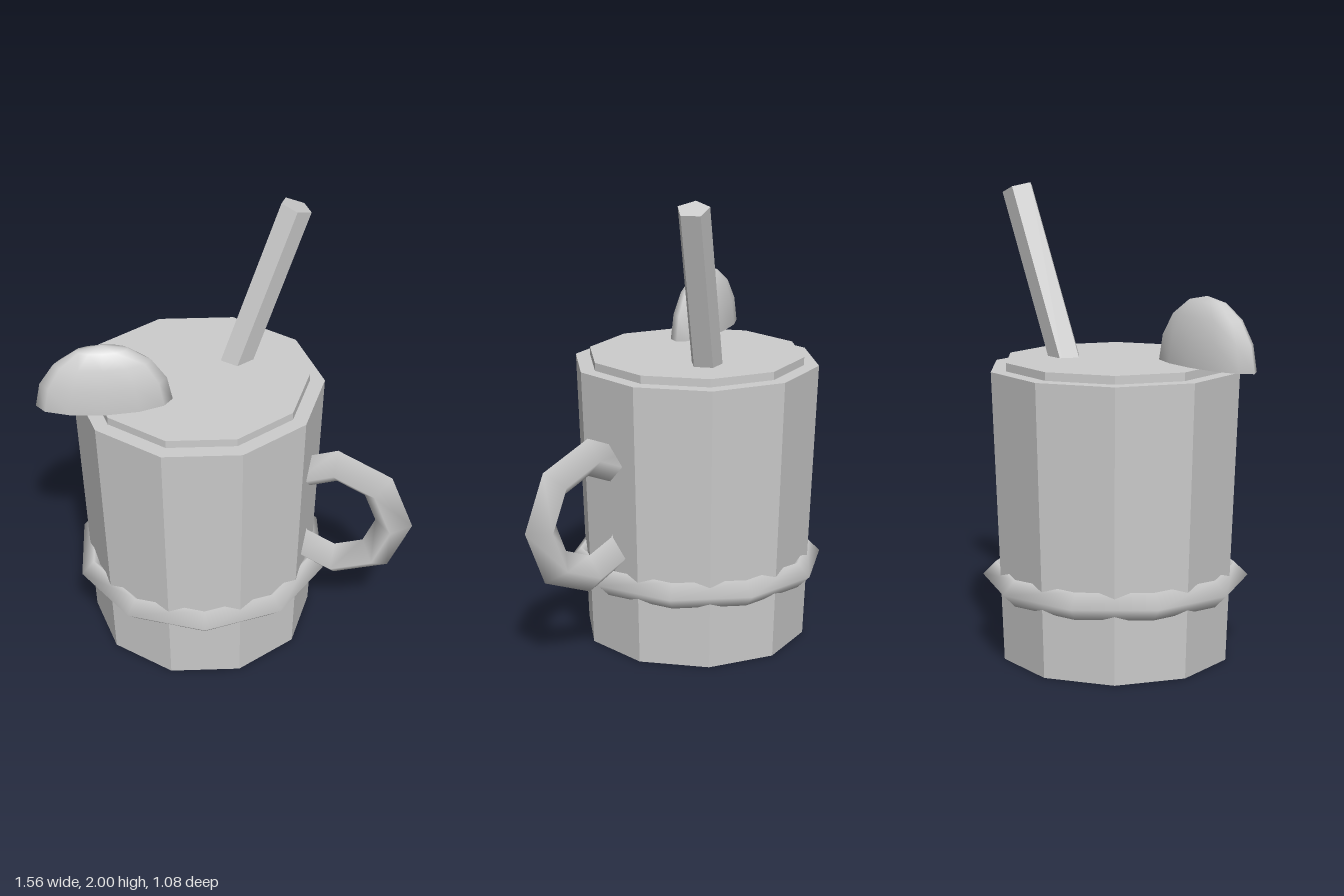
import * as THREE from 'three';

const CUP_X = -0.185;

// Gives every face its own flat normal
function faceted(geometry) {
  const g = geometry.toNonIndexed();
  g.computeVertexNormals();
  return g;
}

export function createModel() {
  const group = new THREE.Group();
  const grey = new THREE.MeshStandardMaterial({ color: 0xcccccc });
  grey.name = 'plain grey';

  function add(name, geometry, x, y, z, parent = group) {
    const mesh = new THREE.Mesh(geometry, grey);
    mesh.name = name;
    mesh.position.set(x, y, z);
    parent.add(mesh);
    return mesh;
  }

  // Ten-sided tapered cup with the drink standing just proud of the rim
  add('cup', faceted(new THREE.CylinderGeometry(0.541, 0.494, 1.24, 10)), CUP_X, 0.62, 0);
  add('drink', faceted(new THREE.CylinderGeometry(0.476, 0.476, 0.075, 10)), CUP_X, 1.2375, 0);

  // Band around the lower cup, diamond in section
  const band = add('band', new THREE.TorusGeometry(0.5125, 0.0575, 4, 10), CUP_X, 0.333, 0);
  band.rotation.x = Math.PI / 2;

  // Handle ring, partly sunk into the cup wall
  add('handle', new THREE.TorusGeometry(0.26, 0.082, 4, 8), 0.435, 0.662, 0);

  // Five-sided straw leaning to the back
  const base = new THREE.Vector3(-0.099, 1.175, -0.167);
  const tip = new THREE.Vector3(0.147, 1.977, -0.33);
  const axis = tip.clone().sub(base);
  const strawShape = new THREE.CylinderGeometry(0.07, 0.07, axis.length(), 5);
  strawShape.rotateY(Math.PI / 2);
  const mid = base.clone().add(tip).multiplyScalar(0.5);
  const straw = add('straw', faceted(strawShape), mid.x, mid.y, mid.z);
  straw.quaternion.setFromUnitVectors(new THREE.Vector3(0, 1, 0), axis.normalize());

  // Fruit slice: a flattened half dome with a flat underside
  const slice = new THREE.Group();
  slice.name = 'fruitSlice';
  slice.position.set(-0.511, 1.278, 0.288);
  slice.rotation.y = 0.36;
  slice.scale.set(0.286, 0.286, 0.096);
  group.add(slice);
  add('sliceDome', new THREE.SphereGeometry(1, 12, 4, 0, Math.PI * 2, 0, Math.PI / 2), 0, 0, 0, slice);
  add('sliceUnderside', new THREE.CircleGeometry(1, 12).rotateX(Math.PI / 2), 0, 0, 0, slice);

  return group;
}
